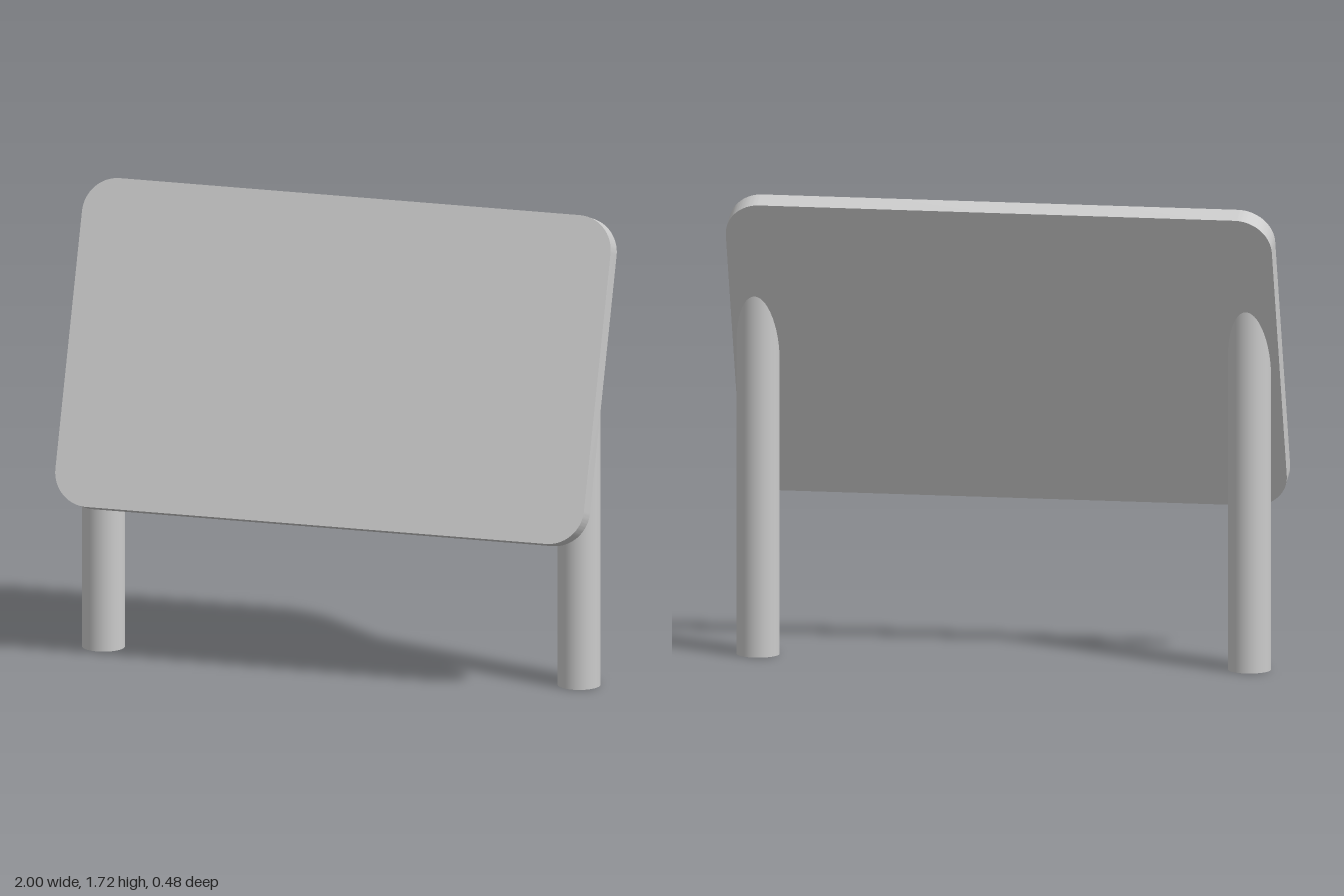
import * as THREE from 'three';
import { toCreasedNormals } from 'three/addons/utils/BufferGeometryUtils.js';

const TILT = THREE.MathUtils.degToRad(20);
const WIDTH = 2, HEIGHT = 1.197, THICK = 0.078, CORNER = 0.13;
const CENTRE_Y = 1.14;
const LEG_RADIUS = 0.078, LEG_Z = -0.032;

function roundedRect(w, h, r) {
  const x = w / 2, y = h / 2, s = new THREE.Shape();
  s.absarc(x - r, y - r, r, 0, Math.PI / 2);
  s.absarc(-x + r, y - r, r, Math.PI / 2, Math.PI);
  s.absarc(-x + r, -y + r, r, Math.PI, Math.PI * 1.5);
  s.absarc(x - r, -y + r, r, Math.PI * 1.5, Math.PI * 2);
  s.closePath();
  return s;
}

// Open tube whose top rim is mitred to the back plane of the tilted board
function legGeometry() {
  const geo = new THREE.CylinderGeometry(LEG_RADIUS, LEG_RADIUS, 1, 48, 1, true);
  geo.translate(0, 0.5, LEG_Z);
  const pos = geo.attributes.position;
  for (let i = 0; i < pos.count; i++) {
    if (pos.getY(i) < 0.5) continue;
    const backPlane = CENTRE_Y - (THICK / 2 / Math.sin(TILT)) - pos.getZ(i) / Math.tan(TILT);
    pos.setY(i, backPlane + 0.01);
  }
  return geo;
}

export function createModel() {
  const group = new THREE.Group();
  group.name = 'informationBoard';

  // Tilted board with rounded corners
  const boardGeo = new THREE.ExtrudeGeometry(roundedRect(WIDTH, HEIGHT, CORNER), {
    depth: THICK, bevelEnabled: false, curveSegments: 16,
  });
  boardGeo.translate(0, 0, -THICK / 2);
  const board = new THREE.Mesh(
    toCreasedNormals(boardGeo, 0.6),
    new THREE.MeshStandardMaterial({ color: 0xcccccc }),
  );
  board.name = 'board';
  board.position.y = CENTRE_Y;
  board.rotation.x = -TILT;
  group.add(board);

  // Two hollow posts, slightly offset from symmetric
  const legGeo = legGeometry();
  const legMat = new THREE.MeshStandardMaterial({ color: 0xcccccc, side: THREE.DoubleSide });
  for (const [name, x] of [['leftLeg', 0.91], ['rightLeg', -0.89]]) {
    const leg = new THREE.Mesh(legGeo, legMat);
    leg.name = name;
    leg.position.x = x;
    group.add(leg);
  }
  return group;
}
